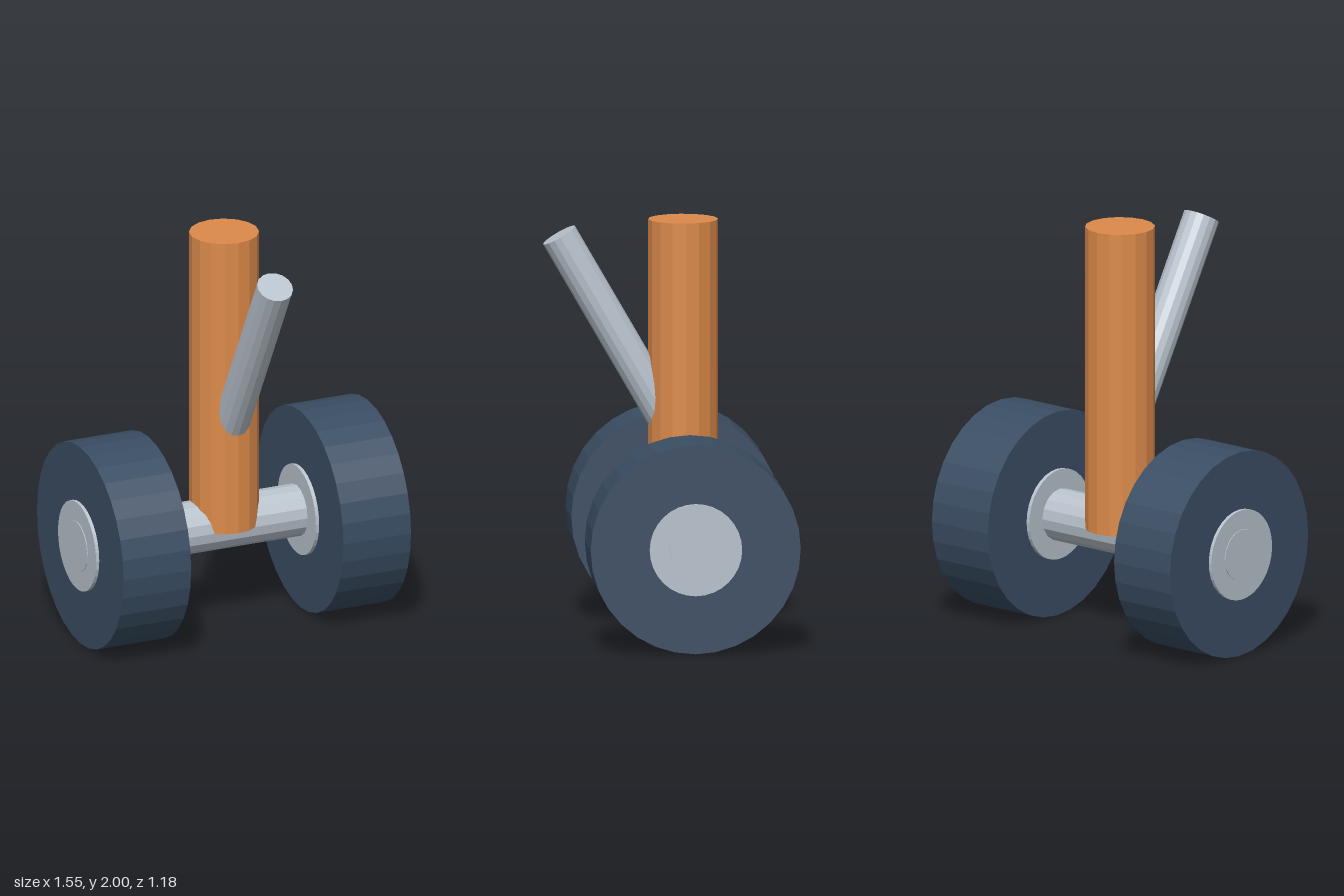
import * as THREE from 'three';

export function createModel() {
  const model = new THREE.Group();
  model.name = 'landingGear';

  const material = (name, color) => {
    const m = new THREE.MeshStandardMaterial({ color });
    m.name = name;
    m.flatShading = true;
    return m;
  };
  const orange = material('orange', 0xdc8a4a);
  const steel = material('lightSteel', 0xb8c2cc);
  const rubber = material('darkBlueRubber', 0x3a4d63);

  // Cylinder running between two points
  const up = new THREE.Vector3(0, 1, 0);
  function rod(name, from, to, radius, sides, mat) {
    const a = new THREE.Vector3(...from);
    const b = new THREE.Vector3(...to);
    const direction = b.clone().sub(a);
    const mesh = new THREE.Mesh(
      new THREE.CylinderGeometry(radius, radius, direction.length(), sides), mat);
    mesh.quaternion.setFromUnitVectors(up, direction.normalize());
    mesh.position.copy(a).add(b).multiplyScalar(0.5);
    mesh.name = name;
    model.add(mesh);
  }

  const axleY = 0.505;
  const axleZ = -0.085;

  // Main strut and the slanted brace, which ends inside it
  rod('mainStrut', [0, axleY, axleZ], [0, 2, axleZ], 0.168, 16, orange);
  rod('dragBrace', [0, 0.894, axleZ], [0, 1.928, 0.511], 0.088, 16, steel);

  // Axle, just proud of the hubs
  rod('axle', [-0.776, axleY, axleZ], [0.776, axleY, axleZ], 0.127, 16, steel);

  // Wheels with hubs
  for (const [side, s] of [['left', 1], ['right', -1]]) {
    rod(side + 'Wheel', [s * 0.4, axleY, axleZ], [s * 0.755, axleY, axleZ], 0.505, 32, rubber);
    rod(side + 'Hub', [s * 0.382, axleY, axleZ], [s * 0.772, axleY, axleZ], 0.222, 32, steel);
  }

  return model;
}
